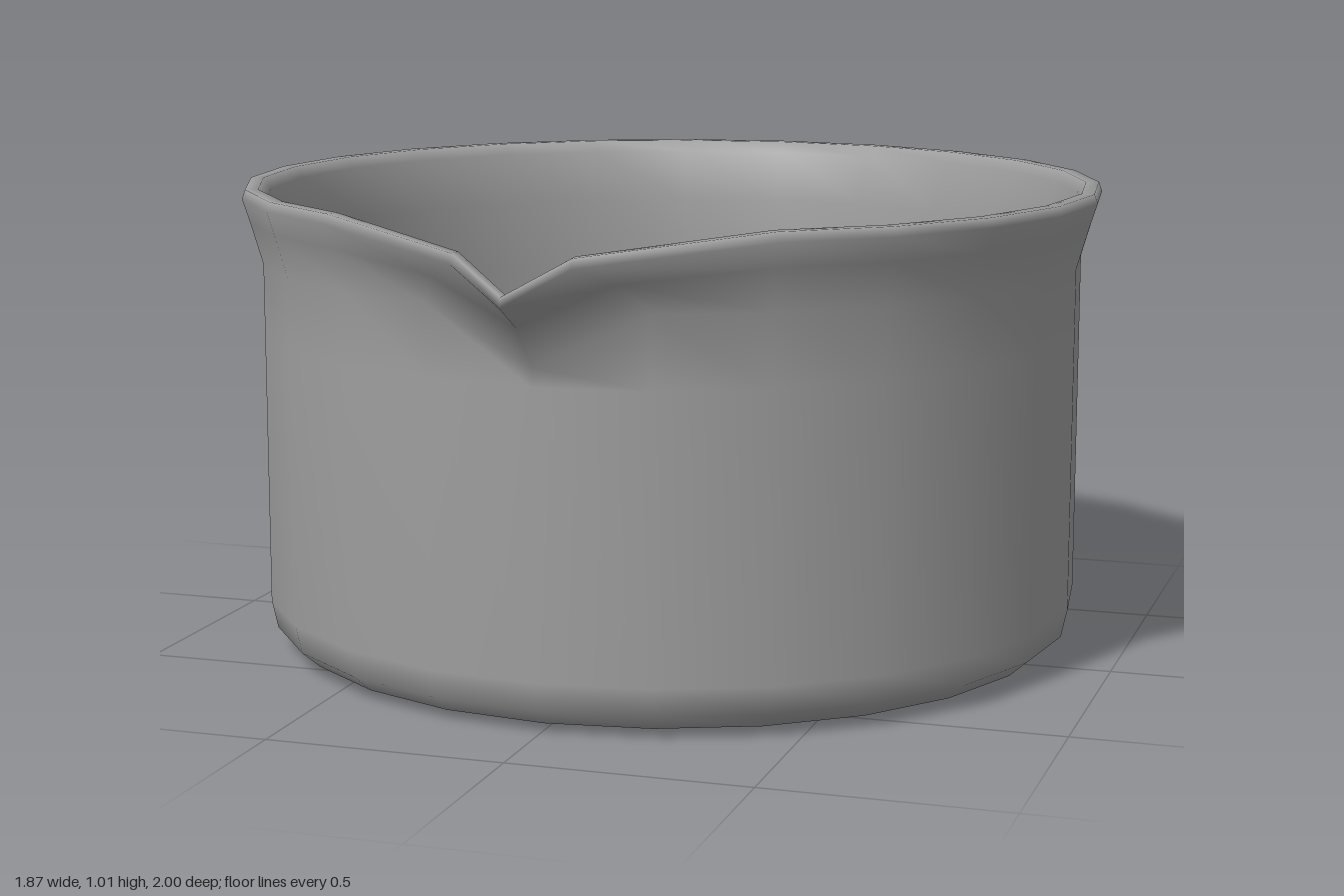
import * as THREE from 'three';
import { mergeVertices } from 'three/addons/utils/BufferGeometryUtils.js';

const SEGMENTS = 24;
const STEP = (Math.PI * 2) / SEGMENTS;

// Closed wall section: underside, outer wall, flared lip, inner wall, floor.
const PROFILE = [
  [0, 0], [0.78, 0], [0.84, 0.015], [0.88, 0.05], [0.893, 0.11],
  [0.893, 0.7], [0.893, 0.85], [0.919, 0.94], [0.935, 0.99], [0.928, 1.01],
  [0.9, 1.01], [0.885, 0.985], [0.857, 0.87], [0.855, 0.7], [0.847, 0.12],
  [0.825, 0.06], [0.76, 0.04], [0, 0.04],
];

// Pulls the lip outward, down and together around +z to form the pouring spout.
function shapeSpout(geometry) {
  const p = geometry.attributes.position;
  for (let i = 0; i < p.count; i++) {
    const x = p.getX(i), y = p.getY(i), z = p.getZ(i);
    if (y < 0.8) continue;
    const angle = Math.atan2(x, z);
    const column = Math.round(Math.abs(angle) / STEP);
    if (column > 1) continue;
    const flare = THREE.MathUtils.clamp((y - 0.85) / 0.14, 0, 1);
    const reach = (column === 0 ? 0.13 : 0.078) * flare ** 1.8;
    const drop = column === 0 ? 0.11 : 0.04 * flare;
    const radius = Math.hypot(x, z) + reach;
    const pinched = angle * (1 - 0.54 * flare ** 1.8);
    p.setXYZ(i, radius * Math.sin(pinched), y - drop, radius * Math.cos(pinched));
  }
}

export function createModel() {
  const group = new THREE.Group();
  group.name = 'pouringBowl';

  // Turned vessel, welded so that shading runs smoothly across the seam
  const points = PROFILE.map(([r, y]) => new THREE.Vector2(r, y));
  let geometry = new THREE.LatheGeometry(points, SEGMENTS);
  geometry.deleteAttribute('normal');
  geometry.deleteAttribute('uv');
  geometry = mergeVertices(geometry, 1e-4);
  shapeSpout(geometry);
  geometry.translate(0, 0, -0.065);
  geometry.computeVertexNormals();

  const vessel = new THREE.Mesh(
    geometry,
    new THREE.MeshStandardMaterial({ color: 0x9e9e9e }),
  );
  vessel.name = 'vesselWithSpout';
  group.add(vessel);
  return group;
}
